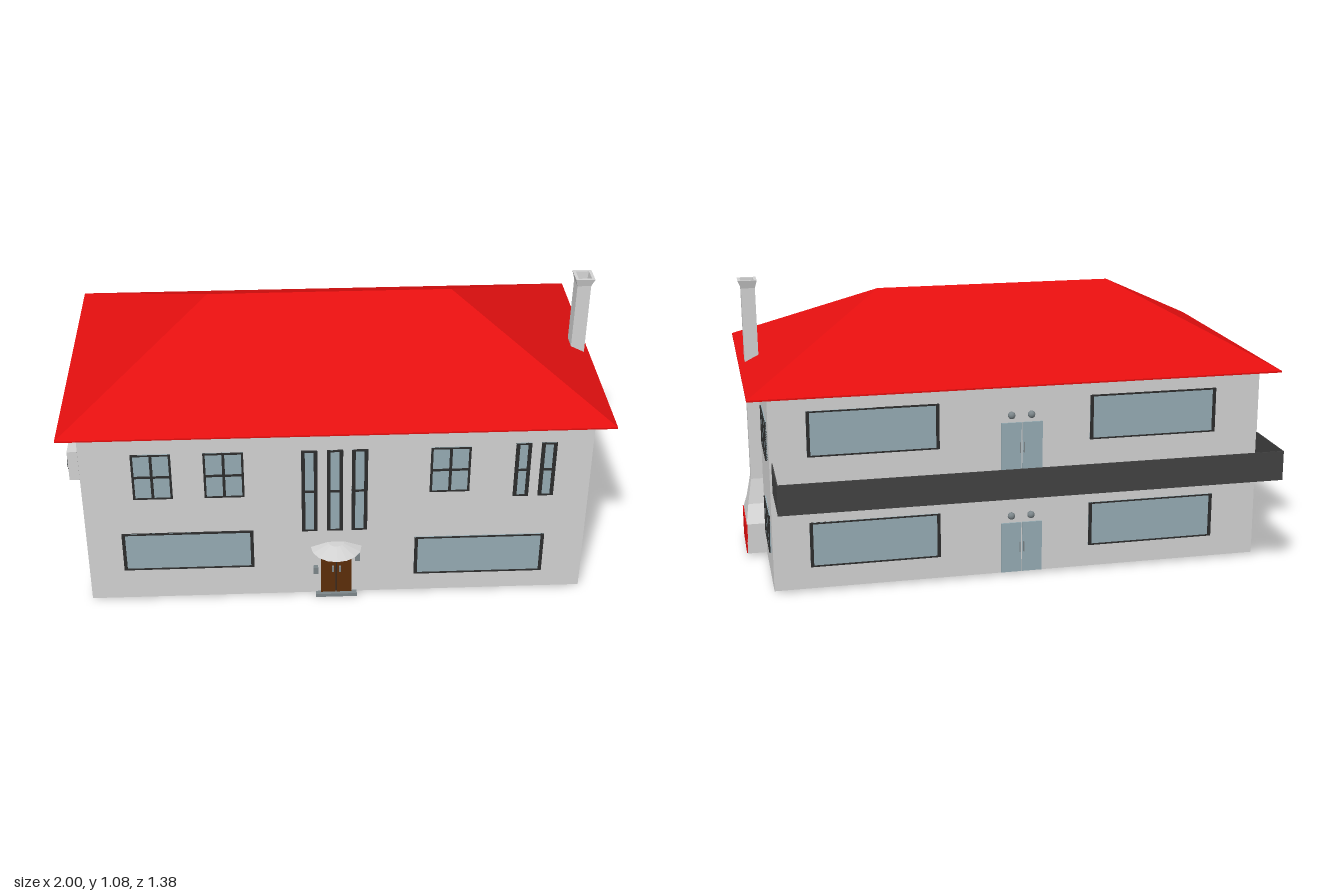
import * as THREE from 'three';

const mat = (name, color, opts = {}) => {
  const m = new THREE.MeshStandardMaterial({ color, ...opts });
  m.name = name;
  return m;
};

export function createModel() {
  const wallMat = mat('wall grey', 0xd2d2d2);
  const roofMat = mat('roof red', 0xe40f0f);
  const glassMat = mat('glass blue', 0x95abb3);
  const frameMat = mat('frame dark', 0x2c2c2c);
  const parapetMat = mat('parapet charcoal', 0x424242);
  const doorMat = mat('door brown', 0x5c2d0a);
  const metalMat = mat('metal grey', 0x7c868a);

  const house = new THREE.Group();
  house.name = 'house';

  const add = (parent, name, geo, material, x = 0, y = 0, z = 0) => {
    const m = new THREE.Mesh(geo, material);
    m.name = name;
    m.position.set(x, y, z);
    parent.add(m);
    return m;
  };
  // Box given by its limits on each axis
  const box = (parent, name, material, x0, x1, y0, y1, z0, z1) =>
    add(parent, name, new THREE.BoxGeometry(x1 - x0, y1 - y0, z1 - z0), material,
      (x0 + x1) / 2, (y0 + y1) / 2, (z0 + z1) / 2);

  // Closed solid through rectangular rings [y, x0, x1, z0, z1]
  const loft = (rings) => {
    const c = rings.map(([y, x0, x1, z0, z1]) =>
      [[x0, y, z1], [x1, y, z1], [x1, y, z0], [x0, y, z0]]);
    const pos = [];
    const tri = (...pts) => pts.forEach((p) => pos.push(...p));
    const quad = (p, q, r, s) => { tri(p, q, r); tri(p, r, s); };
    for (let i = 0; i + 1 < c.length; i++) {
      for (let k = 0; k < 4; k++) {
        const n = (k + 1) % 4;
        quad(c[i][k], c[i][n], c[i + 1][n], c[i + 1][k]);
      }
    }
    const b = c[0], t = c[c.length - 1];
    quad(b[0], b[3], b[2], b[1]);
    quad(t[0], t[1], t[2], t[3]);
    const g = new THREE.BufferGeometry();
    g.setAttribute('position', new THREE.Float32BufferAttribute(pos, 3));
    g.computeVertexNormals();
    return g;
  };

  // Walls and hipped roof
  box(house, 'walls', wallMat, -0.93, 0.92, 0.01, 0.745, -0.435, 0.59);
  add(house, 'roof', loft([
    [0.742, -1, 0.992, -0.482, 0.625],
    [0.748, -1, 0.992, -0.482, 0.625],
    [1.022, -0.468, 0.45, 0.065, 0.065],
  ]), roofMat);

  // One group per facade: local x along the wall, local z outwards
  const facade = (name, x, z, ry) => {
    const g = new THREE.Group();
    g.name = name;
    g.position.set(x, 0, z);
    g.rotation.y = ry;
    house.add(g);
    return g;
  };
  const front = facade('frontFacade', 0, 0.59, 0);
  const back = facade('backFacade', 0, -0.435, Math.PI);
  const left = facade('leftFacade', 0.92, 0, Math.PI / 2);
  const right = facade('rightFacade', -0.93, 0, -Math.PI / 2);

  // Window: glass plate, frame, and bars dividing it into panes
  const makeWindow = (wall, u0, u1, y0, y1, { cols = 1, rows = 1, side = 0.008, edge = 0.005, bar = 0.01 } = {}) => {
    const g = new THREE.Group();
    g.name = 'window';
    wall.add(g);
    const d = 0.008;
    box(g, 'glass', glassMat, u0, u1, y0, y1, -0.002, 0.004);
    box(g, 'frameSide', frameMat, u0, u0 + side, y0, y1, 0, d);
    box(g, 'frameSide', frameMat, u1 - side, u1, y0, y1, 0, d);
    box(g, 'frameSill', frameMat, u0, u1, y0, y0 + edge, 0, d);
    box(g, 'frameHead', frameMat, u0, u1, y1 - edge, y1, 0, d);
    for (let i = 1; i < cols; i++) {
      const u = u0 + (u1 - u0) * i / cols;
      box(g, 'mullion', frameMat, u - bar / 2, u + bar / 2, y0, y1, 0, d);
    }
    for (let i = 1; i < rows; i++) {
      const y = y0 + (y1 - y0) * i / rows;
      box(g, 'transom', frameMat, u0, u1, y - 0.004, y + 0.004, 0, d);
    }
  };
  const cross = { cols: 2, rows: 2 };
  const narrow = { rows: 2, side: 0.013 };
  const wide = { side: 0.012 };

  // Front windows
  for (const [a, b] of [[-0.745, -0.602], [-0.487, -0.342], [0.333, 0.478]]) makeWindow(front, a, b, 0.468, 0.66, cross);
  for (const u of [-0.135, -0.042, 0.048]) makeWindow(front, u, u + 0.058, 0.305, 0.66, narrow);
  for (const u of [0.64, 0.732]) makeWindow(front, u, u + 0.056, 0.44, 0.67, narrow);
  makeWindow(front, -0.8, -0.315, 0.145, 0.31, wide);
  makeWindow(front, 0.285, 0.77, 0.09, 0.26, wide);

  // Left side windows
  for (const u of [-0.485, -0.41, -0.338]) makeWindow(left, u, u + 0.047, 0.447, 0.68, narrow);
  makeWindow(left, -0.503, -0.27, 0.127, 0.272, cross);
  makeWindow(left, 0.115, 0.347, 0.127, 0.272, cross);
  makeWindow(left, 0.115, 0.347, 0.483, 0.63, cross);

  // Right side windows
  makeWindow(right, -0.24, 0.26, 0.13, 0.305, wide);
  makeWindow(right, -0.21, -0.05, 0.5, 0.67, cross);
  for (const u of [0.18, 0.245]) makeWindow(right, u, u + 0.05, 0.47, 0.68, narrow);

  // Back windows, glass double doors and lamps on both floors
  for (const y of [0, 0.42]) {
    makeWindow(back, -0.785, -0.303, 0.095 + y, 0.265 + y, wide);
    makeWindow(back, 0.266, 0.756, 0.095 + y, 0.265 + y, wide);
  }
  for (const y of [0.012, 0.402]) {
    for (const [a, b] of [[-0.072, 0.004], [0.008, 0.084]]) {
      box(back, 'glassDoor', glassMat, a, b, y, y + 0.195, -0.002, 0.006);
    }
    for (const u of [-0.003, 0.012]) box(back, 'doorHandle', metalMat, u, u + 0.003, y + 0.08, y + 0.12, 0.004, 0.012);
    for (const u of [-0.035, 0.04]) {
      add(back, 'lamp', new THREE.SphereGeometry(0.014, 12, 8), metalMat, u, y + 0.225, 0.01);
    }
  }

  // Front door with canopy, step, post box and lamp
  box(front, 'doorLeaf', doorMat, -0.066, -0.01, 0.015, 0.228, 0, 0.008);
  box(front, 'doorLeaf', doorMat, -0.006, 0.05, 0.015, 0.228, 0, 0.008);
  box(front, 'doorGap', frameMat, -0.01, -0.006, 0.015, 0.228, 0, 0.004);
  for (const u of [-0.024, 0.002]) box(front, 'doorHandle', metalMat, u, u + 0.007, 0.115, 0.14, 0.006, 0.016);
  box(front, 'doorStep', metalMat, -0.085, 0.07, 0, 0.014, -0.02, 0.02);
  add(front, 'canopy', new THREE.CylinderGeometry(0.03, 0.095, 0.022, 8, 1, false, -Math.PI / 2, Math.PI).toNonIndexed(),
    wallMat, -0.008, 0.236, 0).geometry.computeVertexNormals();
  box(front, 'postBox', metalMat, -0.094, -0.076, 0.108, 0.138, 0, 0.016);
  box(front, 'doorLamp', metalMat, 0.062, 0.08, 0.165, 0.195, 0, 0.016);

  // Chimney stack with hearth base, red panel and dark flue
  add(house, 'chimney', loft([
    [0.012, 0.91, 0.994, -0.037, 0.193],
    [0.132, 0.91, 0.994, -0.037, 0.193],
    [0.195, 0.91, 0.982, 0.022, 0.138],
    [0.29, 0.912, 0.966, 0.045, 0.11],
    [1.045, 0.918, 0.97, 0.045, 0.11],
    [1.075, 0.91, 0.982, 0.036, 0.118],
    [1.075, 0.921, 0.971, 0.047, 0.107],
    [1.02, 0.926, 0.964, 0.051, 0.104],
  ]), wallMat);
  box(house, 'hearthPanel', roofMat, 0.992, 0.998, 0.014, 0.132, -0.037, 0.193);
  box(house, 'flue', parapetMat, 0.927, 0.963, 1.015, 1.023, 0.052, 0.103);

  // Balcony: pale floor inside a thin dark parapet
  const balcony = new THREE.Group();
  balcony.name = 'balcony';
  house.add(balcony);
  box(balcony, 'balconyFloor', wallMat, -0.928, 0.908, 0.39, 0.4, -0.687, -0.43);
  box(balcony, 'parapetBack', parapetMat, -0.932, 0.912, 0.389, 0.5, -0.69, -0.686);
  for (const x of [-0.932, 0.908]) {
    box(balcony, 'parapetEnd', parapetMat, x, x + 0.004, 0.389, 0.5, -0.688, -0.435);
  }

  // Air conditioners and their duct on the right side
  for (const [u, y] of [[0.395, 0.53], [0.5, 0.56]]) {
    const unit = new THREE.Group();
    unit.name = 'airConditioner';
    unit.position.set(u + 0.046, y + 0.06, 0);
    right.add(unit);
    box(unit, 'casing', wallMat, -0.046, 0.046, -0.06, 0.06, 0, 0.036);
    const fan = add(unit, 'fan', new THREE.CylinderGeometry(0.038, 0.038, 0.004, 20), frameMat, 0, 0, 0.037);
    fan.rotation.x = Math.PI / 2;
    for (let i = 0; i < 3; i++) {
      const blade = add(unit, 'fanBlade', new THREE.BoxGeometry(0.066, 0.008, 0.004), metalMat, 0, 0, 0.039);
      blade.rotation.z = i * Math.PI / 3;
    }
  }
  box(right, 'duct', wallMat, 0.425, 0.515, 0.2, 0.535, 0, 0.008);

  return house;
}
